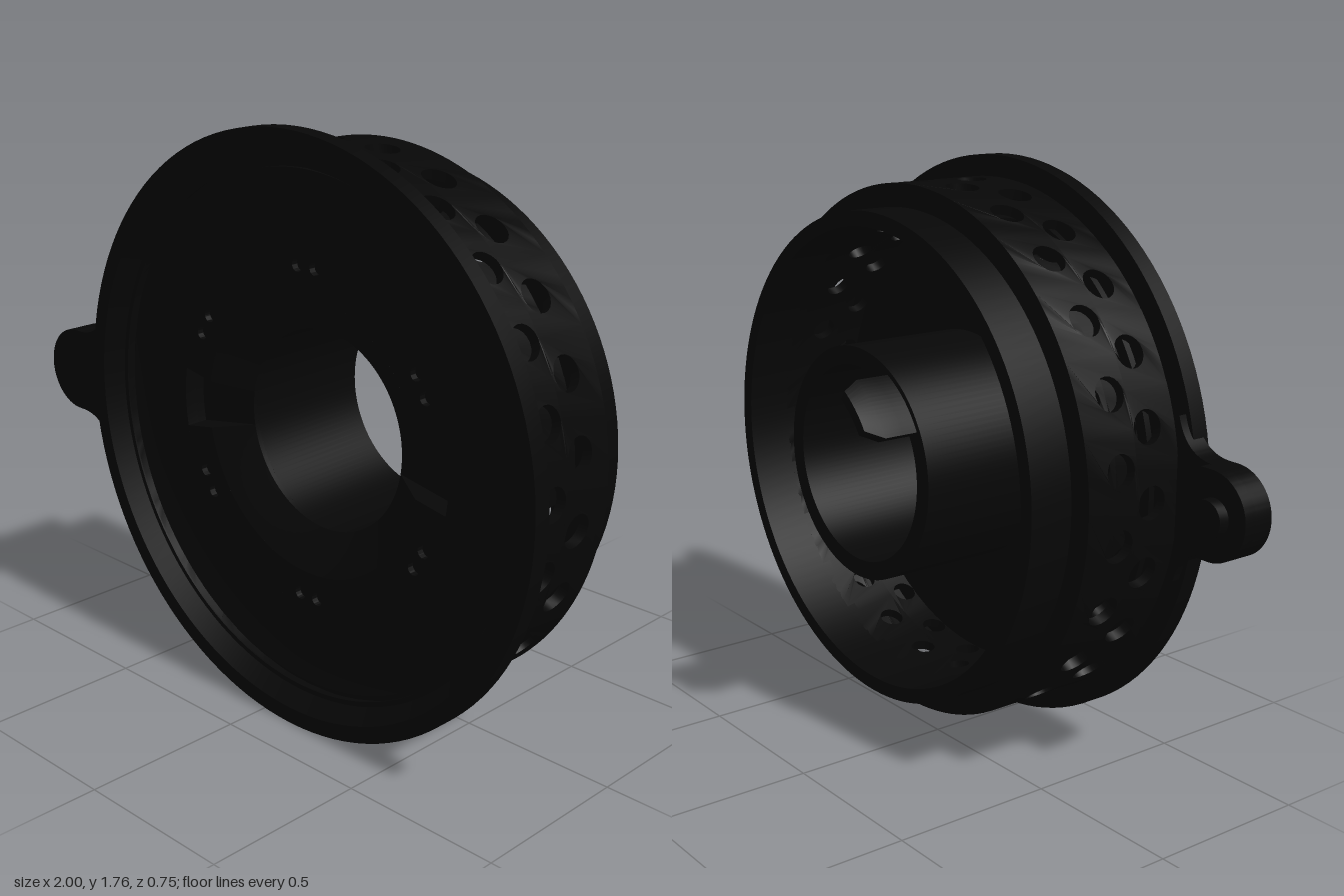
import * as THREE from 'three';
import { toCreasedNormals, mergeGeometries } from 'three/addons/utils/BufferGeometryUtils.js';

const DEG = Math.PI / 180;

export function createModel() {
  const model = new THREE.Group();
  model.name = 'perforatedHousing';
  const black = new THREE.MeshStandardMaterial({ color: 0x070707 });
  black.name = 'black';

  // everything round shares one axis along z
  const ring = new THREE.Group();
  ring.name = 'roundBody';
  ring.position.set(0.12, 0.88, 0);
  model.add(ring);

  function add(name, geometry, parent = ring) {
    const mesh = new THREE.Mesh(toCreasedNormals(geometry, 0.6), black);
    mesh.name = name;
    parent.add(mesh);
  }

  // closed [radius, z] profile, counterclockwise, turned about z
  function turned(name, profile) {
    const pts = [...profile, profile[0]].map(([r, z]) => new THREE.Vector2(r, z));
    add(name, new THREE.LatheGeometry(pts, 120).rotateX(Math.PI / 2));
  }
  const tube = (name, r0, r1, z0, z1) =>
    turned(name, [[r0, z0], [r1, z0], [r1, z1], [r0, z1]]);

  // extruded piece of a ring between two angles in degrees
  function sector(r0, r1, a0, a1, z0, z1, { holes = [], steps = 1, curveSegments = 48 } = {}) {
    const s = new THREE.Shape();
    s.absarc(0, 0, r1, a0 * DEG, a1 * DEG, false);
    s.absarc(0, 0, r0, a1 * DEG, a0 * DEG, true);
    s.closePath();
    for (const [a, r, size] of holes) {
      const h = new THREE.Path();
      h.absarc(r * Math.cos(a * DEG), r * Math.sin(a * DEG), size, 0, Math.PI * 2, true);
      s.holes.push(h);
    }
    return new THREE.ExtrudeGeometry(s, { depth: z1 - z0, steps, bevelEnabled: false, curveSegments })
      .translate(0, 0, z0);
  }

  // front flange and web, with a narrow groove between them
  turned('flange', [[0.775, 0.315], [0.88, 0.315], [0.88, 0.37], [0.83, 0.37], [0.79, 0.32], [0.775, 0.32]]);
  turned('web', [[0.53, 0.25], [0.765, 0.25], [0.765, 0.30], [0.71, 0.29], [0.53, 0.29]]);
  tube('grooveFloor', 0.75, 0.79, 0.27, 0.285);

  // perforated walls: bands of bent tiles, each tile with one round hole
  const count = 24, step = Math.PI * 2 / count;
  function wallBand(name, inner, outer, z0, z1, holeZ, holeR, phase) {
    const half = outer * step / 2, n = 6;
    const outline = [];
    for (let i = 0; i <= n; i++) outline.push(new THREE.Vector2(-half + 2 * half * i / n, z0));
    for (let i = n; i >= 0; i--) outline.push(new THREE.Vector2(-half + 2 * half * i / n, z1));
    const shape = new THREE.Shape(outline);
    const hole = new THREE.Path();
    hole.absarc(0, holeZ, holeR, 0, Math.PI * 2, true);
    shape.holes.push(hole);
    const flat = new THREE.ExtrudeGeometry(shape, { depth: outer - inner, bevelEnabled: false, curveSegments: 10 });
    const tiles = [];
    for (let k = 0; k < count; k++) {
      const g = flat.clone(), p = g.attributes.position;
      for (let i = 0; i < p.count; i++) {
        const a = Math.PI / 2 + (k + phase) * step + p.getX(i) / outer;
        const r = inner + p.getZ(i);
        p.setXYZ(i, r * Math.cos(a), r * Math.sin(a), p.getY(i));
      }
      tiles.push(g);
    }
    add(name, mergeGeometries(tiles));
  }
  for (const [name, r0, r1, top, size] of [['outerWall', 0.785, 0.815, 0.32, 0.05], ['innerWall', 0.70, 0.73, 0.27, 0.038]]) {
    wallBand(name + 'Rear', r0, r1, -0.02, 0.158, 0.10, size, 0.5);
    wallBand(name + 'Front', r0, r1, 0.158, top, 0.212, size, 0);
  }

  // stepped back rim, closing the gap between the walls
  turned('backRim', [[0.70, -0.16], [0.745, -0.16], [0.745, -0.02], [0.80, -0.02], [0.80, 0.01], [0.70, 0.01]]);

  // central hub with a full-length bore
  tube('hub', 0.30, 0.355, -0.21, 0.205);

  // dished collar round the bore, in two halves split by side slots
  for (const a of [0, 180]) {
    const from = a + 10, to = a + 170;
    const wedges = [];
    for (let w = from; w < to; w += 4) {
      const wedge = sector(0.30, 0.42, w, w + 4, 0.2, 0.29, { curveSegments: 1 });
      const p = wedge.attributes.position;
      for (let i = 0; i < p.count; i++) {
        if (p.getZ(i) > 0.28 && Math.hypot(p.getX(i), p.getY(i)) < 0.35) p.setZ(i, 0.22);
      }
      wedges.push(wedge);
    }
    add('dishedCollar', mergeGeometries(wedges));
    const holes = [30, 90, 150].flatMap(d => [-4, 4].map(e => [a + d + e, 0.495, 0.02]));
    add('dimpledPlate', sector(0.42, 0.53, from, to, 0.27, 0.29, { holes }));
    add('plateBacking', sector(0.42, 0.53, from, to, 0.2, 0.27));
    add('slotFloor', sector(0.30, 0.555, a - 10, a + 10, 0.18, 0.22));
    add('slotEnd', sector(0.53, 0.555, a - 10, a + 10, 0.18, 0.29));
  }

  // tapered locating peg on the back of the hub
  const peg = sector(0.30, 0.34, 118, 152, -0.375, -0.2, { steps: 3 });
  const pp = peg.attributes.position, mid = 135 * DEG;
  for (let i = 0; i < pp.count; i++) {
    if (pp.getZ(i) > -0.37) continue;
    const a = mid + (Math.atan2(pp.getY(i), pp.getX(i)) - mid) * 0.68;
    const r = 0.32 + (Math.hypot(pp.getX(i), pp.getY(i)) - 0.32) * 0.8;
    pp.setXY(i, r * Math.cos(a), r * Math.sin(a));
  }
  add('locatingPeg', peg);

  // side tab with filleted neck, thumb pad and nub
  const tab = new THREE.Shape();
  tab.moveTo(-0.71, 1.12);
  tab.quadraticCurveTo(-0.74, 1.01, -0.85, 1.01);
  tab.lineTo(-0.87, 1.01);
  tab.absarc(-0.87, 0.88, 0.13, Math.PI / 2, Math.PI * 1.5, false);
  tab.lineTo(-0.85, 0.75);
  tab.quadraticCurveTo(-0.74, 0.75, -0.71, 0.64);
  tab.closePath();
  const tabGeo = new THREE.ExtrudeGeometry(tab, { depth: 0.065, bevelEnabled: false, curveSegments: 24 });
  add('sideTab', tabGeo.translate(0, 0, 0.29), model);

  const pad = new THREE.Shape();
  pad.absarc(-0.87, 0.88, 0.13, Math.PI / 2, Math.PI * 1.5, false);
  pad.lineTo(-0.83, 0.75);
  pad.lineTo(-0.83, 1.01);
  pad.closePath();
  const padGeo = new THREE.ExtrudeGeometry(pad, { depth: 0.04, bevelEnabled: false, curveSegments: 24 });
  add('tabPad', padGeo.translate(0, 0, 0.255), model);

  const nub = new THREE.CylinderGeometry(0.055, 0.055, 0.04, 24).rotateX(Math.PI / 2);
  add('tabNub', nub.translate(-0.885, 0.88, 0.242), model);

  return model;
}
